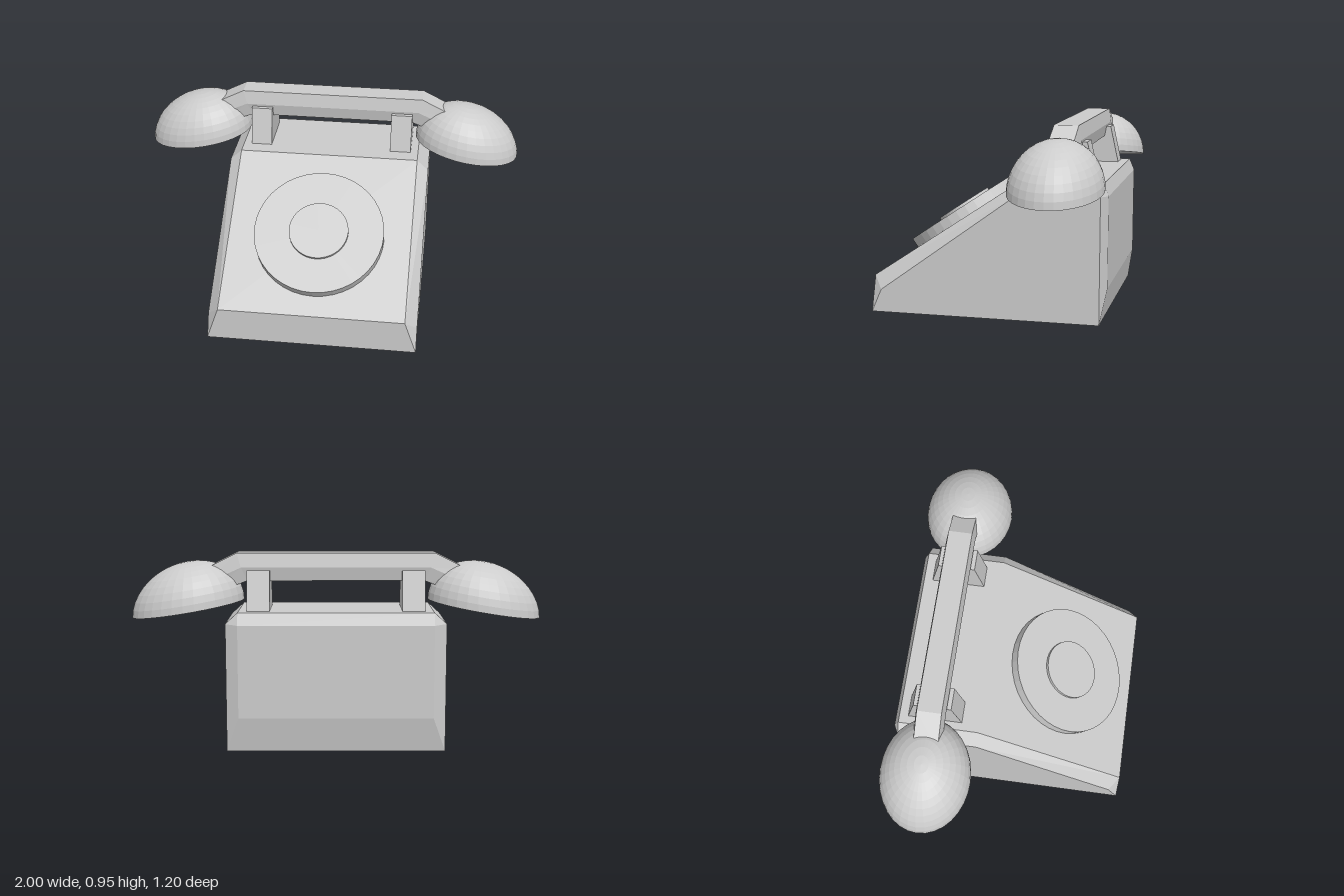
import * as THREE from 'three';
import { ConvexGeometry } from 'three/addons/geometries/ConvexGeometry.js';

const BACK = -0.375; // z of the handset line

export function createModel() {
  const model = new THREE.Group();
  const material = new THREE.MeshStandardMaterial({
    color: 0xcccccc, flatShading: true,
  });
  const add = (name, geometry, parent = model) => {
    const mesh = new THREE.Mesh(geometry, material);
    mesh.name = name;
    parent.add(mesh);
    return mesh;
  };
  // convex solid from the corners of one half, mirrored in x
  const mirroredHull = (corners) => new ConvexGeometry(corners.flatMap(
    ([x, y, z]) => [new THREE.Vector3(x, y, z), new THREE.Vector3(-x, y, z)]));

  // wedge-shaped housing with bevelled edges
  add('housing', mirroredHull([
    [0.53, 0, 0.6], [0.47, 0.175, 0.6], [0.53, 0.115, 0.55],
    [0.47, 0.68, -0.155], [0.53, 0.625, -0.155],
    [0.47, 0.68, -0.555], [0.53, 0.625, -0.55],
    [0.47, 0.62, -0.58], [0.47, 0.17, -0.58], [0.53, 0, -0.55],
  ]));

  // dial and hub stand square to the sloping face
  const dial = new THREE.Group();
  dial.name = 'dialAssembly';
  dial.position.set(0, 0.422, 0.2345);
  dial.rotation.x = Math.atan2(0.505, 0.755);
  model.add(dial);
  add('dial', new THREE.CylinderGeometry(0.333, 0.333, 0.06, 40), dial).position.y = 0.02;
  add('dialHub', new THREE.CylinderGeometry(0.152, 0.152, 0.03, 40), dial).position.y = 0.05;

  // two tapered cradle blocks
  for (const side of [-1, 1]) {
    const cradle = add('cradle', mirroredHull([
      [0.055, 0.67, -0.138], [0.055, 0.67, 0.138],
      [0.055, 0.872, -0.093], [0.055, 0.872, 0.093],
    ]));
    cradle.position.set(side * 0.375, 0, BACK);
  }

  add('handle', handleGeometry());

  // domes with a sloping rim, lower at the outside
  const profile = [new THREE.Vector2(0, 0)];
  for (let i = 0; i <= 10; i++) {
    const a = (i / 10) * Math.PI / 2;
    profile.push(new THREE.Vector2(i === 10 ? 0 : Math.cos(a), Math.sin(a)));
  }
  for (const side of [-1, 1]) {
    const dome = new THREE.LatheGeometry(profile, 32);
    dome.applyMatrix4(new THREE.Matrix4().set(
      0.275, 0, 0, side * 0.725,
      -0.045 * side, 0.23, 0, 0.68,
      0, 0, 0.225, BACK,
      0, 0, 0, 1));
    add(side > 0 ? 'leftEarpiece' : 'rightEarpiece', dome);
  }
  return model;
}

// six-sided bar whose ends bend down into the domes
function handleGeometry() {
  // [z, y, x of the bend]
  const section = [
    [0.06, 0.955, 0.48], [0.073, 0.885, 0.46], [0.06, 0.82, 0.43],
    [-0.06, 0.82, 0.43], [-0.073, 0.885, 0.46], [-0.06, 0.955, 0.48],
  ];
  const n = section.length, positions = [], index = [];
  for (const side of [-1, 1]) {
    const rings = side < 0 ? [true, false] : [false, true];
    for (const end of rings) {
      for (const [z, y, bend] of section) {
        positions.push(side * (end ? 0.64 : bend), y - (end ? 0.08 : 0), z + BACK);
      }
    }
  }
  for (let r = 0; r < 3; r++) {
    for (let i = 0; i < n; i++) {
      const a = r * n + i, b = r * n + (i + 1) % n;
      index.push(a, b, a + n, b, b + n, a + n);
    }
  }
  for (let i = 1; i < n - 1; i++) {
    index.push(0, i + 1, i, 3 * n, 3 * n + i, 3 * n + i + 1);
  }
  const geometry = new THREE.BufferGeometry();
  geometry.setAttribute('position', new THREE.Float32BufferAttribute(positions, 3));
  geometry.setIndex(index);
  const flat = geometry.toNonIndexed();
  flat.computeVertexNormals();
  return flat;
}
